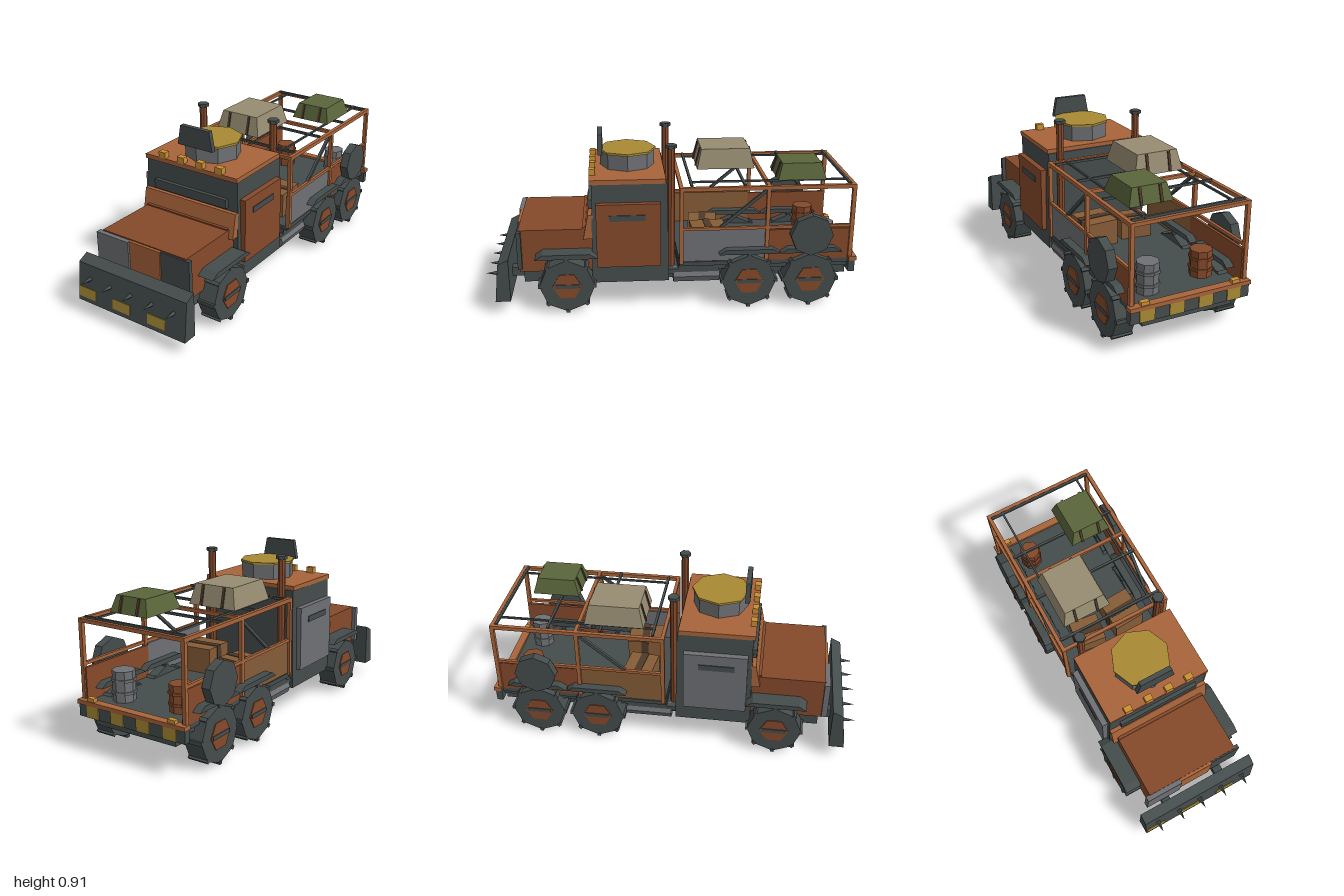
import * as THREE from 'three';

const mat = (name, color) => {
  const m = new THREE.MeshStandardMaterial({ color });
  m.name = name;
  return m;
};

export function createModel() {
  const M = {
    dark: mat('dark steel', 0x454c4c), rust: mat('rust paint', 0x864a2b),
    orange: mat('orange paint', 0xa8643a), grey: mat('grey metal', 0x6e7074),
    yellow: mat('hazard yellow', 0xa88a34), amber: mat('amber lamp', 0xcc8f34),
    beige: mat('beige canvas', 0x978c72), green: mat('green canvas', 0x5a653b),
    wood: mat('crate wood', 0x865c38), strap: mat('dark strap', 0x4e3a2a),
  };
  const root = new THREE.Group();
  root.name = 'armouredTruck';

  // Faceted mesh
  const add = (name, geo, m, parent = root) => {
    const g = geo.index ? geo.toNonIndexed() : geo;
    g.computeVertexNormals();
    const mesh = new THREE.Mesh(g, m);
    mesh.name = name;
    parent.add(mesh);
    return mesh;
  };
  // Box from its extents
  const box = (name, m, x0, x1, y0, y1, z0, z1, parent) => add(name,
    new THREE.BoxGeometry(x1 - x0, y1 - y0, z1 - z0)
      .translate((x0 + x1) / 2, (y0 + y1) / 2, (z0 + z1) / 2), m, parent);
  // Box whose top is drawn in by tx and tz
  const taper = (name, m, x0, x1, y0, y1, z0, z1, tx, tz) => {
    const g = new THREE.BoxGeometry(x1 - x0, y1 - y0, z1 - z0), p = g.attributes.position;
    for (let i = 0; i < p.count; i++) if (p.getY(i) > 0) {
      p.setX(i, p.getX(i) - Math.sign(p.getX(i)) * tx);
      p.setZ(i, p.getZ(i) - Math.sign(p.getZ(i)) * tz);
    }
    return add(name, g.translate((x0 + x1) / 2, (y0 + y1) / 2, (z0 + z1) / 2), m);
  };
  // Side profile of [z, y] points, extruded across x
  const profile = (name, m, pts, x0, x1) => {
    const s = new THREE.Shape(pts.map(([z, y]) => new THREE.Vector2(z, y)));
    const g = new THREE.ExtrudeGeometry(s, { depth: x1 - x0, bevelEnabled: false });
    return add(name, g.rotateY(-Math.PI / 2).translate(x1, 0, 0), m);
  };
  // Square bar between two points
  const rod = (name, m, a, b, t) => {
    const A = new THREE.Vector3(...a), B = new THREE.Vector3(...b);
    const mesh = add(name, new THREE.BoxGeometry(t, t, A.distanceTo(B)), m);
    mesh.position.copy(A).add(B).multiplyScalar(0.5);
    mesh.lookAt(B);
  };
  // Upright and sideways cylinders
  const drum = (name, m, r, sides, x, z, y0, y1) => add(name,
    new THREE.CylinderGeometry(r, r, y1 - y0, sides).translate(x, (y0 + y1) / 2, z), m);
  const disc = (name, m, r, sides, x0, x1, parent) => add(name,
    new THREE.CylinderGeometry(r, r, x1 - x0, sides).rotateZ(Math.PI / 2)
      .translate((x0 + x1) / 2, 0, 0), m, parent);

  // Chassis and bed floor
  box('chassis', M.dark, -0.25, 0.25, 0.145, 0.21, -0.96, 0.8);
  box('bedUnderframe', M.dark, -0.29, 0.29, 0.205, 0.24, -0.96, -0.03);
  box('bedFloor', M.dark, -0.31, 0.31, 0.235, 0.258, -0.97, -0.035);

  // Wheels, hubs and fenders
  for (const s of [1, -1]) {
    for (const z of [0.567, -0.41, -0.743]) {
      const w = new THREE.Group();
      w.name = 'wheel';
      w.position.set(s * 0.295, 0.155, z);
      root.add(w);
      disc('tyre', M.dark, 0.148, 8, -0.053, 0.053, w);
      disc('hub', M.rust, 0.078, 6, s > 0 ? 0.04 : -0.058, s > 0 ? 0.058 : -0.04, w);
      box('hubBar', M.dark, Math.min(s * 0.05, s * 0.062), Math.max(s * 0.05, s * 0.062),
        -0.011, 0.011, -0.066, 0.066, w);
      for (let i = 0; i < 8; i++) {
        const t = box('tread', M.dark, -0.056, 0.056, 0.138, 0.155, -0.01, 0.01, w);
        t.rotation.x = i * Math.PI / 4;
      }
      profile('fender', M.dark, [[z - 0.165, 0.312], [z + 0.165, 0.312], [z + 0.125, 0.338],
        [z - 0.125, 0.338]], s > 0 ? 0.25 : -0.355, s > 0 ? 0.355 : -0.25);
    }
    // Spare wheel, exhaust stack and side tank
    const spare = disc('spareWheel', M.dark, 0.114, 8, s > 0 ? 0.322 : -0.37, s > 0 ? 0.37 : -0.322);
    spare.position.set(0, 0.416, -0.737);
    drum('exhaustStack', M.rust, 0.021, 8, s * 0.23, 0.005, 0.2, 0.88);
    drum('exhaustCap', M.dark, 0.031, 6, s * 0.23, 0.005, 0.875, 0.893);
    const tank = disc('sideTank', M.grey, 0.045, 8, -0.125, 0.125);
    tank.rotation.y = Math.PI / 2;
    tank.position.set(s * 0.255, 0.167, -0.13);
    box('tankBracket', M.dark, s > 0 ? 0.2 : -0.29, s > 0 ? 0.29 : -0.2, 0.185, 0.21, -0.25, 0.02);
  }

  // Cab
  taper('cab', M.dark, -0.3, 0.3, 0.15, 0.702, 0.02, 0.433, 0.012, 0.008);
  box('roof', M.orange, -0.292, 0.292, 0.7, 0.725, 0.035, 0.437);
  box('windscreenFrame', M.dark, -0.23, 0.23, 0.547, 0.597, 0.42, 0.447);
  profile('cowl', M.orange, [[0.42, 0.4], [0.475, 0.4], [0.448, 0.533], [0.42, 0.533]], -0.292, 0.292);
  for (const s of [1, -1]) {
    const side = (name, m, a, b, ...r) => box(name, m, Math.min(s * a, s * b), Math.max(s * a, s * b), ...r);
    side('door', s > 0 ? M.rust : M.grey, 0.285, 0.322, 0.247, 0.6, 0.065, 0.405);
    side('doorSlit', M.dark, 0.32, 0.327, 0.508, 0.54, 0.145, 0.337);
  }

  // Bonnet and grille armour
  box('bonnet', M.rust, -0.265, 0.265, 0.21, 0.447, 0.42, 0.82);
  box('bonnetHinge', M.rust, -0.26, 0.26, 0.445, 0.454, 0.45, 0.48);
  box('grillePlateGrey', M.grey, -0.287, -0.08, 0.23, 0.44, 0.815, 0.845);
  box('grillePlateOrange', M.orange, -0.082, 0.112, 0.225, 0.442, 0.812, 0.835);
  box('grillePlateDark', M.dark, 0.11, 0.287, 0.23, 0.44, 0.805, 0.828);

  // Ram plough with spikes and hazard stripes
  profile('plough', M.dark, [[0.87, 0.075], [0.95, 0.075], [0.927, 0.288], [0.87, 0.315]], -0.345, 0.345);
  for (const s of [1, -1])
    box('ploughArm', M.dark, s * 0.17 - 0.025, s * 0.17 + 0.025, 0.155, 0.205, 0.78, 0.88);
  for (const x of [-0.283, -0.057, 0.168])
    profile('ploughStripe', M.yellow, [[0.944, 0.1], [0.9505, 0.1], [0.9445, 0.155], [0.938, 0.155]],
      x - 0.057, x + 0.057);
  for (let i = -2; i <= 2; i++)
    add('spike', new THREE.ConeGeometry(0.014, 0.065, 4).rotateX(Math.PI / 2)
      .translate(i * 0.135, 0.21, 0.967), M.dark);

  // Roof turret, shield and lamps
  drum('turret', M.grey, 0.149, 8, 0, 0.23, 0.724, 0.808);
  drum('turretLid', M.yellow, 0.157, 8, 0, 0.23, 0.808, 0.82);
  taper('turretShield', M.dark, -0.11, 0.11, 0.806, 0.913, 0.364, 0.39, 0.02, 0);
  for (const x of [-0.18, -0.06, 0.06, 0.18])
    box('roofLamp', M.amber, x - 0.021, x + 0.021, 0.724, 0.758, 0.405, 0.438);

  // Bed side panels
  box('bedPanelFrontLeft', M.grey, 0.294, 0.31, 0.262, 0.442, -0.5, -0.04);
  box('bedPanelFrontRight', M.wood, -0.31, -0.294, 0.262, 0.442, -0.5, -0.04);
  for (const x of [0.302, -0.302])
    box('bedPanelRear', M.rust, x - 0.008, x + 0.008, 0.258, 0.432, -0.965, -0.5);

  // Cage: posts, rails, braces and roof bars
  for (const s of [1, -1]) {
    const x = s * 0.312;
    for (const z of [-0.045, -0.505, -0.962])
      rod('cagePost', M.orange, [x, 0.25, z], [x, 0.68, z], 0.021);
    rod('topRail', M.orange, [x, 0.672, -0.035], [x, 0.672, -0.972], 0.021);
    rod('midRail', M.orange, [x, 0.45, -0.045], [x, 0.45, -0.962], 0.016);
    rod('brace', M.dark, [s * 0.305, 0.45, -0.25], [s * 0.305, 0.66, -0.5], 0.016);
    rod('roofBarLong', M.dark, [s * 0.235, 0.686, -0.09], [s * 0.235, 0.686, -0.95], 0.01);
  }
  for (const z of [-0.045, -0.51, -0.962])
    rod('crossRail', M.orange, [-0.312, 0.672, z], [0.312, 0.672, z], 0.019);
  for (const z of [-0.1, -0.38, -0.66, -0.94])
    rod('roofBar', M.dark, [-0.305, 0.684, z], [0.305, 0.684, z], 0.013);

  // Rear bumper with stripes and lamps
  box('rearBumper', M.dark, -0.328, 0.328, 0.185, 0.25, -0.99, -0.955);
  box('rearBumperCap', M.orange, -0.333, 0.333, 0.25, 0.272, -0.998, -0.955);
  for (const x of [-0.24, -0.08, 0.08, 0.24])
    box('bumperStripe', M.yellow, x - 0.04, x + 0.04, 0.187, 0.249, -0.995, -0.989);
  for (const x of [-0.25, 0.25])
    box('tailLamp', M.amber, x - 0.022, x + 0.022, 0.27, 0.29, -0.992, -0.965);

  // Strapped canvas loads on the cage roof
  const load = (m, x0, x1, y1, z0, z1) => {
    taper('canvasLoad', m, x0, x1, 0.69, y1, z0, z1, 0.025, 0.025);
    for (const f of [0.27, 0.73]) {
      const x = x0 + (x1 - x0) * f;
      for (const [z, d] of [[z0, 1], [z1, -1]])
        rod('loadStrap', M.strap, [x, 0.69, z], [x, y1 - 0.004, z + d * 0.025], 0.014);
    }
  };
  load(M.beige, -0.25, 0.03, 0.798, -0.475, -0.155);
  load(M.green, 0.016, 0.252, 0.776, -0.825, -0.565);

  // Crates
  const crate = (x, y, z, w, h, d, turn) => {
    const g = new THREE.Group();
    g.name = 'crate';
    g.position.set(x, y, z);
    g.rotation.y = turn;
    root.add(g);
    box('crateBody', M.wood, -w / 2, w / 2, 0, h, -d / 2, d / 2, g);
    box('crateBand', M.strap, -w / 2 - 0.003, w / 2 + 0.003, 0, h + 0.003, -0.02, 0.02, g);
  };
  crate(0.13, 0.257, -0.21, 0.18, 0.14, 0.19, 0.06);
  crate(-0.1, 0.257, -0.2, 0.17, 0.1, 0.16, -0.12);

  // Barrels with hoops
  for (const [m, x, z, h] of [[M.rust, -0.165, -0.805, 0.14], [M.grey, 0.16, -0.845, 0.16]]) {
    drum('barrel', m, 0.058, 8, x, z, 0.257, 0.257 + h);
    for (const f of [0.3, 0.7])
      drum('barrelHoop', m, 0.064, 8, x, z, 0.25 + h * f, 0.264 + h * f);
  }
  return root;
}
